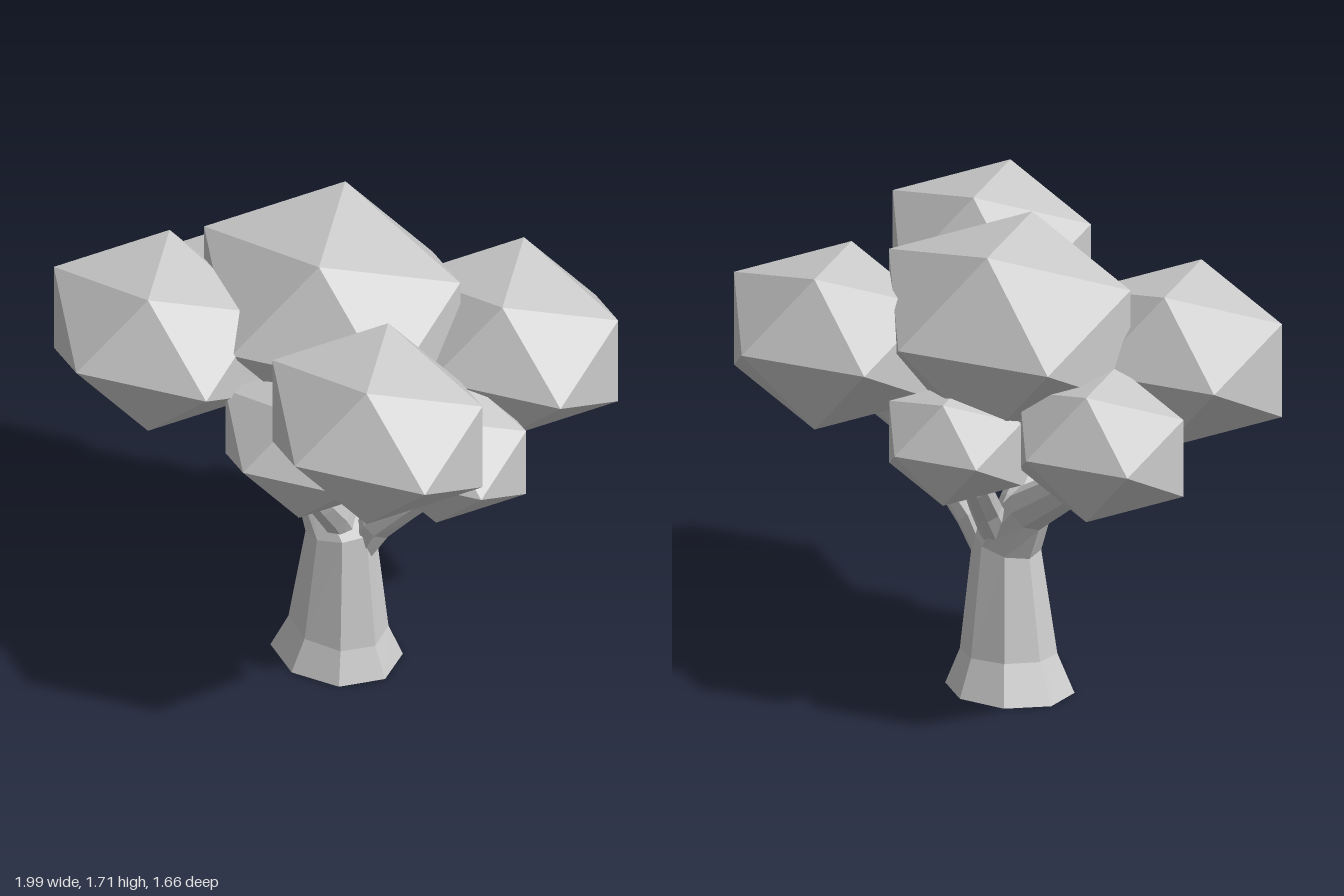
import * as THREE from 'three';
import { ConvexGeometry } from 'three/addons/geometries/ConvexGeometry.js';

const SIDES = 8;
const material = new THREE.MeshStandardMaterial({ color: 0xcccccc, flatShading: true });

// Faceted limb through stations [x, y, z, radiusX, radiusZ], each ring square to the path.
function limb(name, stations) {
  const centres = stations.map(s => new THREE.Vector3(s[0], s[1], s[2]));
  const last = stations.length - 1;
  const pos = [], index = [];
  stations.forEach(([, y, , rx, rz], i) => {
    const dir = centres[Math.min(i + 1, last)].clone().sub(centres[Math.max(i - 1, 0)]).normalize();
    if (y === 0) dir.set(0, 1, 0); // flat on the ground
    const u = new THREE.Vector3(1, 0, 0).addScaledVector(dir, -dir.x).normalize();
    const w = u.clone().cross(dir);
    for (let k = 0; k < SIDES; k++) {
      const a = (k / SIDES) * Math.PI * 2;
      const p = centres[i].clone()
        .addScaledVector(u, Math.cos(a) * rx)
        .addScaledVector(w, Math.sin(a) * rz);
      pos.push(p.x, p.y, p.z);
    }
  });
  for (let i = 0; i < last; i++) {
    for (let k = 0; k < SIDES; k++) {
      const n = (k + 1) % SIDES;
      const a = i * SIDES + k, b = i * SIDES + n, c = a + SIDES, d = b + SIDES;
      index.push(a, c, b, b, c, d);
    }
  }
  // End caps
  const top = last * SIDES;
  for (let k = 1; k < SIDES - 1; k++) {
    index.push(0, k, k + 1, top, top + k + 1, top + k);
  }
  const geo = new THREE.BufferGeometry();
  geo.setAttribute('position', new THREE.Float32BufferAttribute(pos, 3));
  geo.setIndex(index);
  const flat = geo.toNonIndexed();
  flat.computeVertexNormals();
  const mesh = new THREE.Mesh(flat, material);
  mesh.name = name;
  return mesh;
}

// Icosahedron with its poles along z: two poles and two pentagon rings.
function leafGeometry() {
  const points = [new THREE.Vector3(0, 0, 1), new THREE.Vector3(0, 0, -1)];
  const h = 1 / Math.sqrt(5), r = 2 * h;
  for (let k = 0; k < 5; k++) {
    const a = (k * Math.PI * 2) / 5;
    points.push(new THREE.Vector3(Math.cos(a) * r, Math.sin(a) * r, h));
    points.push(new THREE.Vector3(-Math.cos(a) * r, -Math.sin(a) * r, -h));
  }
  return new ConvexGeometry(points);
}

export function createModel() {
  const tree = new THREE.Group();
  tree.name = 'tree';

  // Flared trunk, bending over into the right-hand branch
  tree.add(limb('trunk', [
    [0.005, 0, 0.04, 0.25, 0.213],
    [0.02, 0.13, 0.045, 0.19, 0.16],
    [0.035, 0.53, 0.05, 0.138, 0.11],
    [-0.11, 0.69, 0.045, 0.085, 0.08],
    [-0.47, 0.9, 0.035, 0.06, 0.06],
    [-0.58, 0.99, 0.02, 0.05, 0.05],
  ]));

  // Side branches
  const branches = {
    leftBranch: [
      [0.11, 0.47, 0.02, 0.05, 0.05],
      [0.17, 0.6, 0.0, 0.065, 0.065],
      [0.29, 0.73, -0.035, 0.06, 0.06],
      [0.42, 0.86, -0.07, 0.05, 0.05],
      [0.47, 0.98, -0.06, 0.045, 0.045],
    ],
    frontBranch: [
      [0.06, 0.56, 0.06, 0.06, 0.06],
      [0.07, 0.65, 0.12, 0.07, 0.06],
      [0.1, 0.75, 0.2, 0.06, 0.055],
      [0.13, 0.89, 0.3, 0.05, 0.05],
      [0.14, 0.98, 0.32, 0.045, 0.045],
    ],
    backBranch: [
      [0.04, 0.55, 0.02, 0.07, 0.06],
      [-0.02, 0.69, -0.08, 0.06, 0.055],
      [-0.12, 0.82, -0.19, 0.05, 0.05],
      [-0.17, 0.95, -0.27, 0.04, 0.04],
    ],
  };
  for (const [name, stations] of Object.entries(branches)) tree.add(limb(name, stations));

  // Foliage clumps: [x, y, z, size]
  const foliage = new THREE.Group();
  foliage.name = 'foliage';
  const geo = leafGeometry();
  const clumps = {
    crownClump: [-0.1, 1.37, -0.035, 0.395],
    upperFrontLeftClump: [0.56, 1.38, 0.355, 0.324],
    upperFrontRightClump: [-0.48, 1.283, 0.435, 0.324],
    upperBackClump: [0.385, 1.283, -0.445, 0.324],
    lowerLeftClump: [0.49, 1.08, -0.025, 0.252],
    lowerRightClump: [-0.64, 1.083, -0.025, 0.268],
    lowerFrontClump: [0.145, 1.08, 0.306, 0.253],
    lowerBackClump: [-0.17, 1.015, -0.316, 0.216],
  };
  for (const [name, [x, y, z, s]] of Object.entries(clumps)) {
    const clump = new THREE.Mesh(geo, material);
    clump.name = name;
    clump.position.set(x, y, z);
    clump.scale.set(1.5 * s, s, 1.2 * s);
    foliage.add(clump);
  }
  tree.add(foliage);
  return tree;
}
